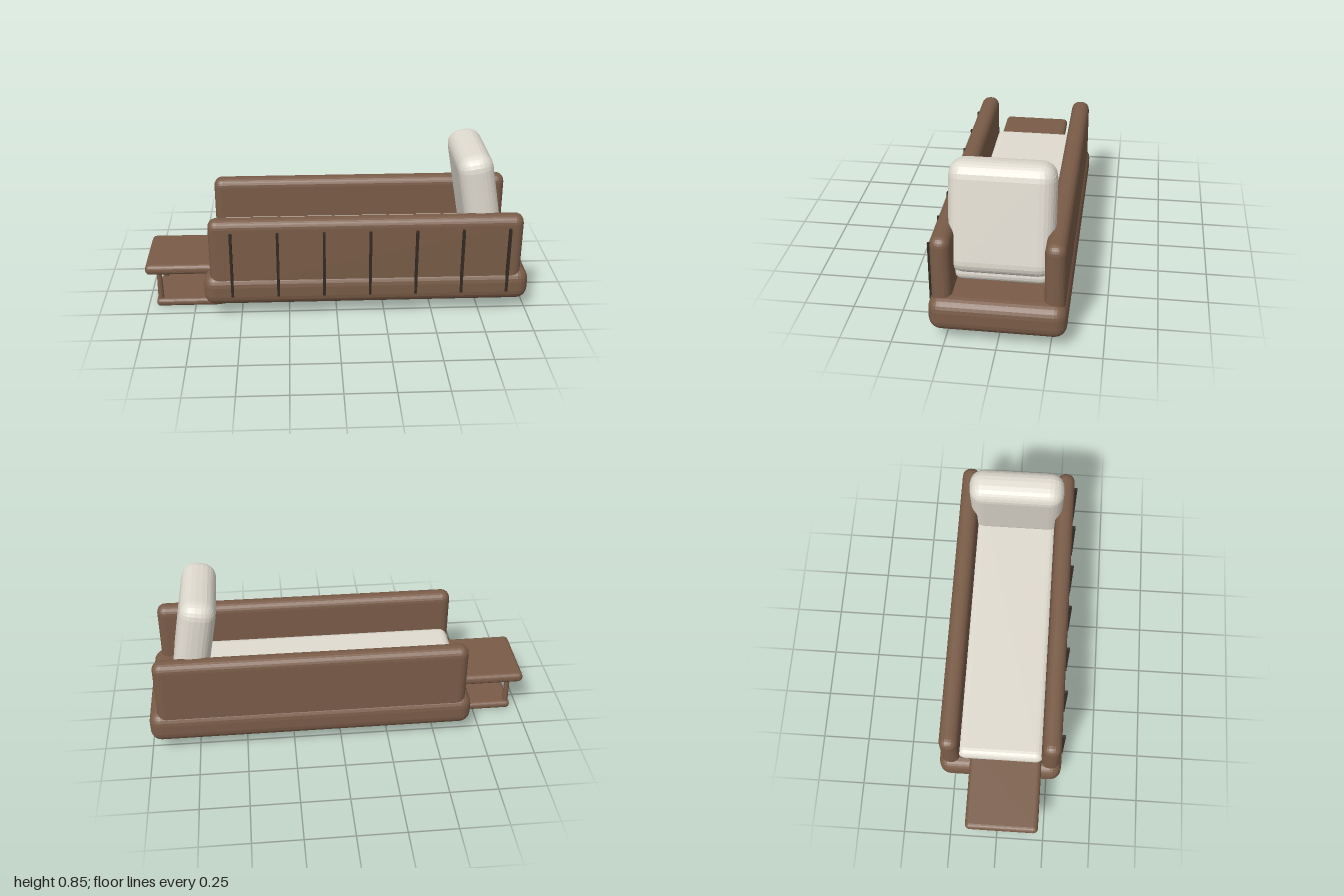
import * as THREE from 'three';
import { RoundedBoxGeometry } from 'three/addons/geometries/RoundedBoxGeometry.js';

const paint = (color) => new THREE.MeshStandardMaterial({ color, flatShading: true });

export function createModel() {
  const model = new THREE.Group();
  const wood = paint(0x7a5c48), fabric = paint(0xe0dbd0), dark = paint(0x332a24);

  const add = (name, geometry, material, x, y, z) => {
    const mesh = new THREE.Mesh(geometry, material);
    mesh.name = name;
    mesh.position.set(x, y, z);
    model.add(mesh);
    return mesh;
  };
  // Rounded block given by its extents along each axis
  const block = (name, [x0, x1], [y0, y1], [z0, z1], radius, material, segments = 3) =>
    add(name, new RoundedBoxGeometry(x1 - x0, y1 - y0, z1 - z0, segments, radius), material,
      (x0 + x1) / 2, (y0 + y1) / 2, (z0 + z1) / 2);

  // Base, side walls and mattress
  block('base', [-0.69, 1], [0.075, 0.247], [-0.327, 0.324], 0.06, wood);
  block('leftSideWall', [-0.655, 0.955], [0.14, 0.556], [0.214, 0.311], 0.044, wood);
  block('rightSideWall', [-0.655, 0.955], [0.14, 0.556], [-0.315, -0.217], 0.044, wood);
  block('mattress', [-0.64, 0.83], [0.255, 0.345], [-0.232, 0.228], 0.044, fabric);

  // Back cushion leaning towards the foot end
  const cushion = add('backCushion', new RoundedBoxGeometry(0.182, 0.552, 0.502, 3, 0.075),
    fabric, 0.743, 0.575, -0.001);
  cushion.rotation.z = THREE.MathUtils.degToRad(10);

  // Dark upright slats on the front wall
  for (let i = 0; i < 7; i++) {
    add('slat', new THREE.BoxGeometry(0.014, 0.357, 0.022), dark, -0.54 + i * 0.2367, 0.316, 0.318);
  }

  // Side table sliding under the foot end
  block('tableTop', [-1, -0.56], [0.21, 0.265], [-0.163, 0.217], 0.024, wood);
  block('tableShelf', [-0.957, -0.6], [0.002, 0.045], [-0.12, 0.18], 0.02, wood);
  for (const x of [-0.934, -0.622]) {
    for (const z of [-0.09, 0.15]) {
      add('tablePost', new THREE.CylinderGeometry(0.013, 0.016, 0.2, 10), wood, x, 0.13, z);
    }
  }
  return model;
}
